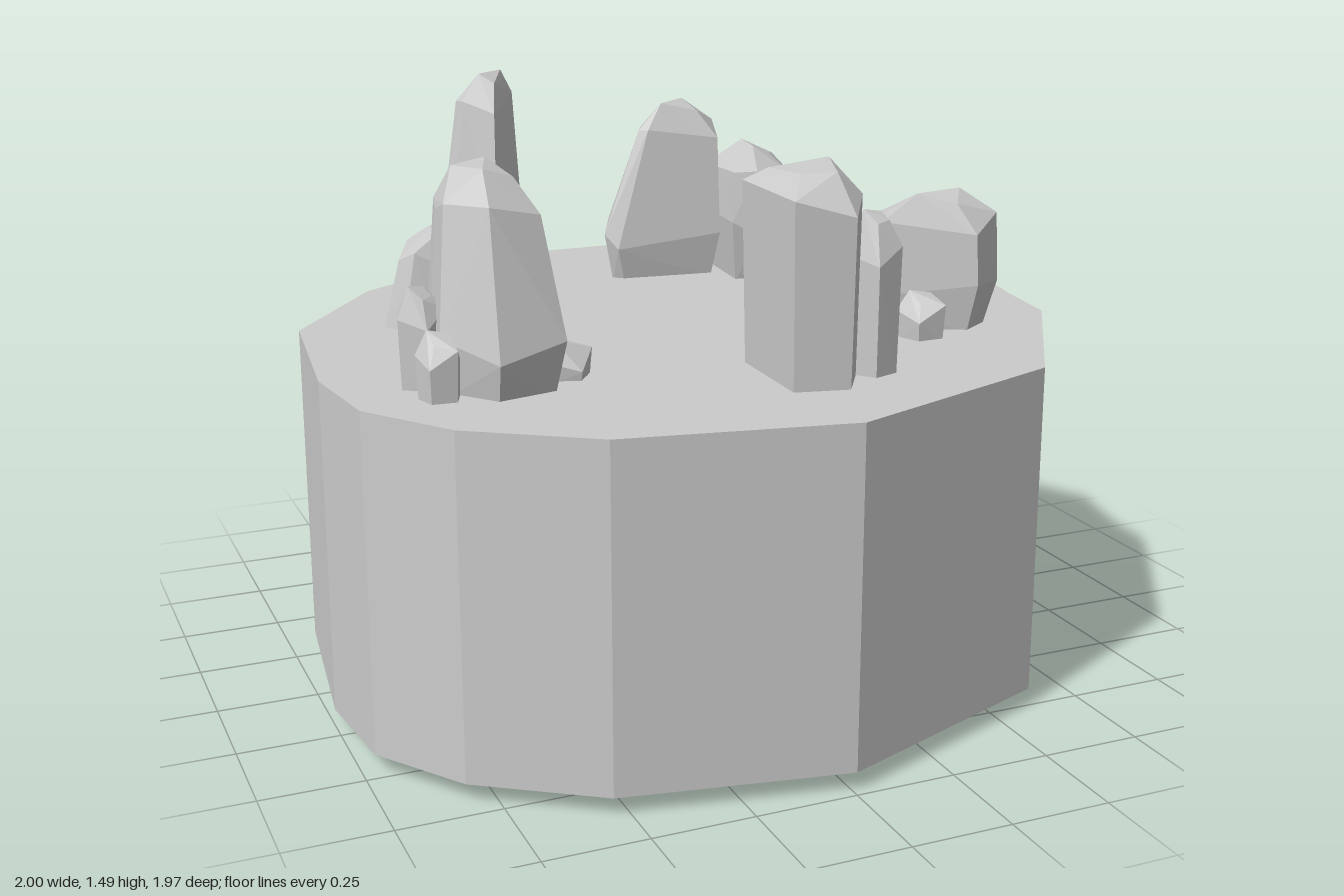
import * as THREE from 'three';
import { ConvexGeometry } from 'three/addons/geometries/ConvexGeometry.js';

const material = new THREE.MeshStandardMaterial({ color: 0xcccccc, flatShading: true });

// Irregular drum: outline as [x, z, underside height], starting at the lowest corner
function createBase() {
  const top = 0.87;
  const rim = [
    [-0.67, -0.66, 0], [-0.94, -0.29, 0.045], [-1, 0.2, 0.045], [-0.97, 0.47, 0.045],
    [-0.82, 0.69, 0.045], [-0.54, 0.88, 0.045], [0.01, 0.98, 0.045], [0.61, 0.75, 0.045],
    [0.92, 0.26, 0.045], [0.95, 0.05, 0.045], [1, -0.18, 0.042], [0.82, -0.57, 0.04],
    [0.31, -0.99, 0.03], [-0.15, -0.98, 0.022], [-0.25, -0.94, 0.015],
  ];
  const pos = [];
  const up = (p) => [p[0], top, p[1]];
  const low = (p) => [p[0], p[2], p[1]];
  const tri = (a, b, c) => pos.push(...a, ...b, ...c);
  rim.forEach((a, i) => {
    const b = rim[(i + 1) % rim.length];
    tri(low(a), low(b), up(b));
    tri(low(a), up(b), up(a));
    if (i > 0 && i < rim.length - 1) {
      tri(up(rim[0]), up(a), up(b));
      tri(low(rim[0]), low(b), low(a));
    }
  });
  const geometry = new THREE.BufferGeometry();
  geometry.setAttribute('position', new THREE.Float32BufferAttribute(pos, 3));
  geometry.computeVertexNormals();
  const mesh = new THREE.Mesh(geometry, material);
  mesh.name = 'base';
  return mesh;
}

// Faceted crystal: a plan outline [x, z] repeated as rings [y, scale, shiftX, shiftZ]
function crystal(name, outline, rings) {
  const n = outline.length;
  const cx = outline.reduce((s, p) => s + p[0], 0) / n;
  const cz = outline.reduce((s, p) => s + p[1], 0) / n;
  const points = [];
  rings.forEach(([y, scale, dx = 0, dz = 0], r) => {
    outline.forEach(([x, z], i) => {
      // uneven shoulders and caps break up the facets
      const drop = r > 0 ? 0.022 * (Math.sin(i * 2.4 + r * 1.7) - 1) : 0;
      points.push(new THREE.Vector3(cx + dx + (x - cx) * scale, y + drop, cz + dz + (z - cz) * scale));
    });
  });
  const mesh = new THREE.Mesh(new ConvexGeometry(points), material);
  mesh.name = name;
  return mesh;
}

// Small crystal on a five-sided plan
function shard(name, x, z, radius, height, turn) {
  const outline = Array.from({ length: 5 }, (_, i) => {
    const a = turn + (i / 5) * Math.PI * 2;
    return [x + radius * Math.cos(a), z + radius * Math.sin(a)];
  });
  const rise = height - 0.86;
  return crystal(name, outline, [[0.86, 0.9], [0.86 + rise * 0.8, 1], [height + 0.01, 0.5]]);
}

export function createModel() {
  const model = new THREE.Group();
  model.name = 'crystalPedestal';
  model.add(createBase());

  // Large crystals, standing in a ring on the top
  model.add(
    crystal('backCrystal',
      [[0.09, -0.78], [0.29, -0.73], [0.35, -0.62], [0.32, -0.49], [0.02, -0.52], [-0.01, -0.55]],
      [[0.86, 0.85], [1.0, 1], [1.3, 0.68, 0.05, 0.01], [1.36, 0.35, 0.05, 0.01]]),
    crystal('backLeftCrystal',
      [[0.34, -0.69], [0.44, -0.71], [0.56, -0.63], [0.53, -0.38], [0.38, -0.36], [0.31, -0.38]],
      [[0.86, 0.82], [1.04, 1], [1.19, 0.85], [1.24, 0.35]]),
    crystal('tallCrystal',
      [[-0.41, -0.6], [-0.27, -0.53], [-0.27, -0.46], [-0.41, -0.27], [-0.52, -0.36], [-0.53, -0.42]],
      [[0.86, 1], [1.1, 0.9], [1.43, 0.62, 0.01, 0.01], [1.49, 0.3, 0.02, 0.03]]),
    crystal('backRightCrystal',
      [[-0.67, -0.37], [-0.54, -0.38], [-0.42, -0.29], [-0.42, -0.19], [-0.61, -0.15], [-0.7, -0.17], [-0.73, -0.25]],
      [[0.86, 1], [1.07, 0.82, 0.02], [1.14, 0.4, 0.03]]),
    crystal('frontRightCrystal',
      [[-0.74, 0.21], [-0.55, 0.2], [-0.5, 0.27], [-0.5, 0.51], [-0.67, 0.55], [-0.77, 0.42], [-0.76, 0.3]],
      [[0.86, 0.85], [1.0, 1], [1.31, 0.76, 0, -0.03], [1.375, 0.45, 0, -0.04]]),
    crystal('frontCrystal',
      [[-0.03, 0.42], [0.12, 0.43], [0.18, 0.52], [0.17, 0.64], [0.1, 0.75], [-0.04, 0.72]],
      [[0.86, 0.94], [1.31, 1], [1.37, 0.6, 0, -0.02]]),
    crystal('leftCrystal',
      [[0.48, 0.1], [0.76, 0.21], [0.74, 0.32], [0.64, 0.39], [0.42, 0.27], [0.44, 0.2]],
      [[0.86, 0.8], [1.0, 1], [1.16, 0.95], [1.22, 0.4, 0, 0.03]]),
  );

  // Small shards beside the large crystals
  [
    [-0.79, 0.33, 0.06, 1.1, 0.3], [-0.78, 0.45, 0.055, 1.02, 1], [-0.46, 0.37, 0.07, 0.95, 0],
    [0.215, 0.62, 0.065, 1.25, 0.6], [0.21, 0.52, 0.045, 0.93, 0.2], [0.49, 0.37, 0.065, 0.98, 0.9],
  ].forEach((s, i) => model.add(shard(`shard${i + 1}`, ...s)));

  return model;
}
